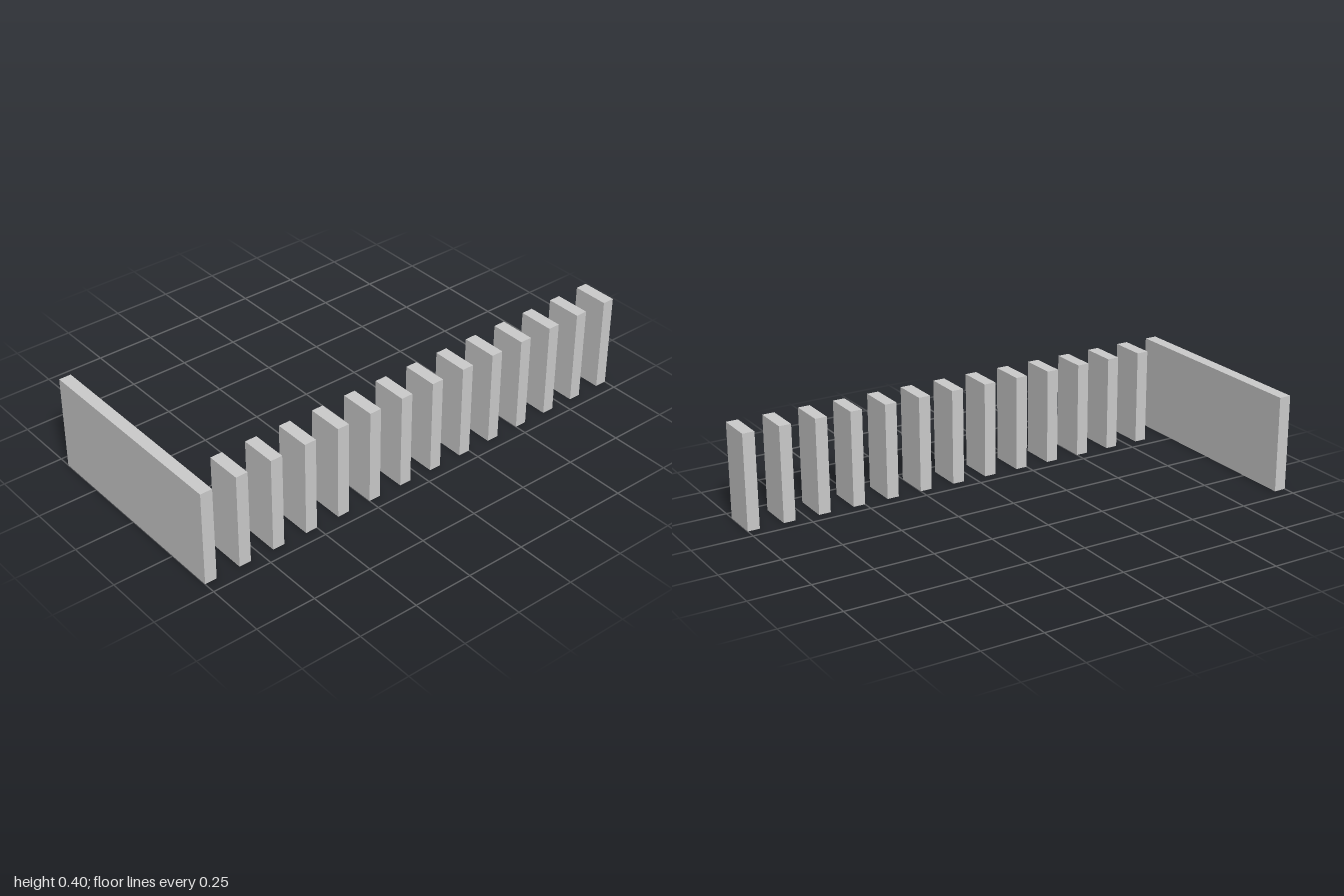
import * as THREE from 'three';

const HEIGHT = 0.396, THICK = 0.05, HALF_WIDTH = 0.449;
const FIN_WIDTH = 0.15, FIN_COUNT = 13, PITCH = 0.15;

export function createModel() {
  const group = new THREE.Group();
  group.name = 'slattedScreen';
  const material = new THREE.MeshStandardMaterial({ color: 0xcccccc, flatShading: true });

  // Upright slab standing on the ground
  const addSlab = (name, width, x, z) => {
    const slab = new THREE.Mesh(new THREE.BoxGeometry(width, HEIGHT, THICK), material);
    slab.name = name;
    slab.position.set(x, HEIGHT / 2, z);
    group.add(slab);
  };

  // Wide panel across the front
  const frontZ = 1 - THICK / 2;
  addSlab('frontPanel', HALF_WIDTH * 2, 0, frontZ);

  // Row of evenly spaced fins running back along the left side
  for (let i = 1; i <= FIN_COUNT; i++) {
    addSlab(`fin${i}`, FIN_WIDTH, HALF_WIDTH - FIN_WIDTH / 2, frontZ - i * PITCH);
  }
  return group;
}
